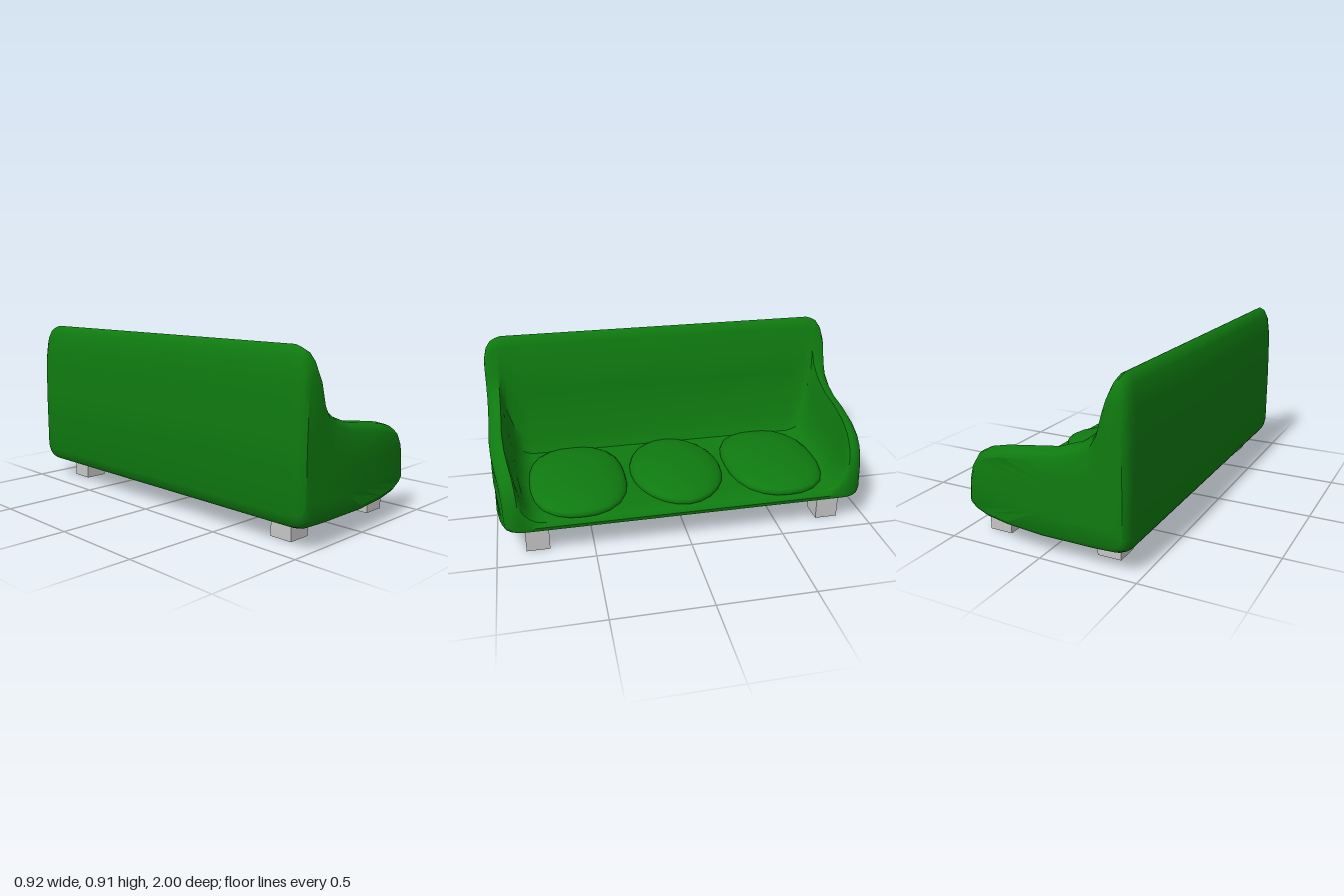
import * as THREE from 'three';
import { toCreasedNormals } from 'three/addons/utils/BufferGeometryUtils.js';

// Underside and front lip, shared by every cross-section (x, y)
const BASE = [[-.46, .17], [-.45, .13], [-.435, .11], [-.4, .095], [-.3, .09], [0, .09], [.2, .1],
  [.33, .11], [.41, .13], [.45, .155], [.455, .175]];
// Upper outline through an arm, and the matching outline through the seat
const ARM = [[.44, .3], [.42, .37], [.38, .43], [.31, .47], [.2, .5], [.05, .525], [-.09, .545],
  [-.21, .59], [-.29, .65], [-.33, .73]];
const SEAT = [[.44, .195], [.4, .205], [.33, .21], [.24, .212], [.1, .215], [-.05, .215], [-.16, .22],
  [-.25, .235], [-.29, .32], [-.325, .6]];
// Backrest top and rear face
const BACK = [[-.36, .86], [-.38, .9], [-.4, .91], [-.42, .9], [-.44, .86], [-.455, .75], [-.46, .5]];

// Sections from the end inwards: z, arm weight, x scale, y scale
const SECTIONS = [[1, 1, .5, .4], [1, 1, .93, .8], [.985, 1, .97, .9], [.96, 1, .99, .96], [.93, 1, 1, .985],
  [.915, .8, 1, .993], [.9, .55, 1, 1], [.87, .25, 1, 1], [.83, .06, 1, 1], [.78, 0, 1, 1]];

function section([z, w, sx, sy]) {
  const upper = ARM.map(([x, y], i) => [
    THREE.MathUtils.lerp(SEAT[i][0], x, w), THREE.MathUtils.lerp(SEAT[i][1], y, w)]);
  const cx = sx < .6 ? -.3 : -.05;
  return [...BASE, ...upper, ...BACK].map(([x, y]) => {
    const px = cx + (x - cx) * sx;
    // the ends curve inwards towards the front
    return [px, .3 + (y - .3) * sy, z * (1 - .3 * Math.max(0, px) ** 2)];
  });
}

function bodyGeometry() {
  const rings = [
    ...SECTIONS.map(([z, ...rest]) => section([-z, ...rest])),
    ...SECTIONS.slice().reverse().map((s) => section(s)),
  ];
  const n = rings[0].length, last = (rings.length - 1) * n;
  const position = rings.flat(2);
  const index = [];
  for (let r = 0; r < rings.length - 1; r++) {
    for (let i = 0; i < n; i++) {
      const j = (i + 1) % n;
      const a = r * n + i, b = r * n + j, c = b + n, d = a + n;
      index.push(a, b, d, b, c, d);
    }
  }
  // end caps
  const capA = position.length / 3, capB = capA + 1;
  position.push(-.3, .3, -1, -.3, .3, 1);
  for (let i = 0; i < n; i++) {
    const j = (i + 1) % n;
    index.push(capA, j, i, capB, last + i, last + j);
  }
  const geo = new THREE.BufferGeometry();
  geo.setAttribute('position', new THREE.Float32BufferAttribute(position, 3));
  geo.setIndex(index);
  return toCreasedNormals(geo, .7);
}

// Pillow-like ellipsoid; an exponent above 2 squares off its plan
function cushionGeometry(rx, ry, rz, exponent) {
  const geo = new THREE.SphereGeometry(1, 24, 14);
  const p = geo.attributes.position;
  for (let i = 0; i < p.count; i++) {
    const x = p.getX(i), y = p.getY(i), z = p.getZ(i);
    const flat = Math.hypot(x, z);
    // the poles stay on the axis
    const k = flat < 1e-4 ? 1
      : (Math.abs(x / flat) ** exponent + Math.abs(z / flat) ** exponent) ** (-1 / exponent);
    p.setXYZ(i, x * k * rx, y * ry, z * k * rz);
  }
  geo.computeVertexNormals();
  return geo;
}

export function createModel() {
  const green = new THREE.MeshStandardMaterial({ color: 0x0f7a10 });
  green.name = 'green upholstery';
  const grey = new THREE.MeshStandardMaterial({ color: 0xc6c6c6 });
  grey.name = 'light grey legs';

  const sofa = new THREE.Group();
  sofa.name = 'sofa';
  const add = (name, geo, mat, x, y, z) => {
    const mesh = new THREE.Mesh(geo, mat);
    mesh.name = name;
    mesh.position.set(x, y, z);
    sofa.add(mesh);
  };

  add('body', bodyGeometry(), green, 0, 0, 0);

  // three seat cushions, the outer pair squarer
  add('middleCushion', cushionGeometry(.365, .07, .255, 2), green, .065, .215, 0);
  const outer = cushionGeometry(.37, .072, .265, 2.5);
  for (const side of [-1, 1]) add('outerCushion', outer, green, .07, .213, side * .55);

  // four block legs
  const leg = new THREE.BoxGeometry(.123, .13, .122);
  for (const x of [-.285, .325]) {
    for (const side of [-1, 1]) add('leg', leg, grey, x, .065, side * .79);
  }
  return sofa;
}
